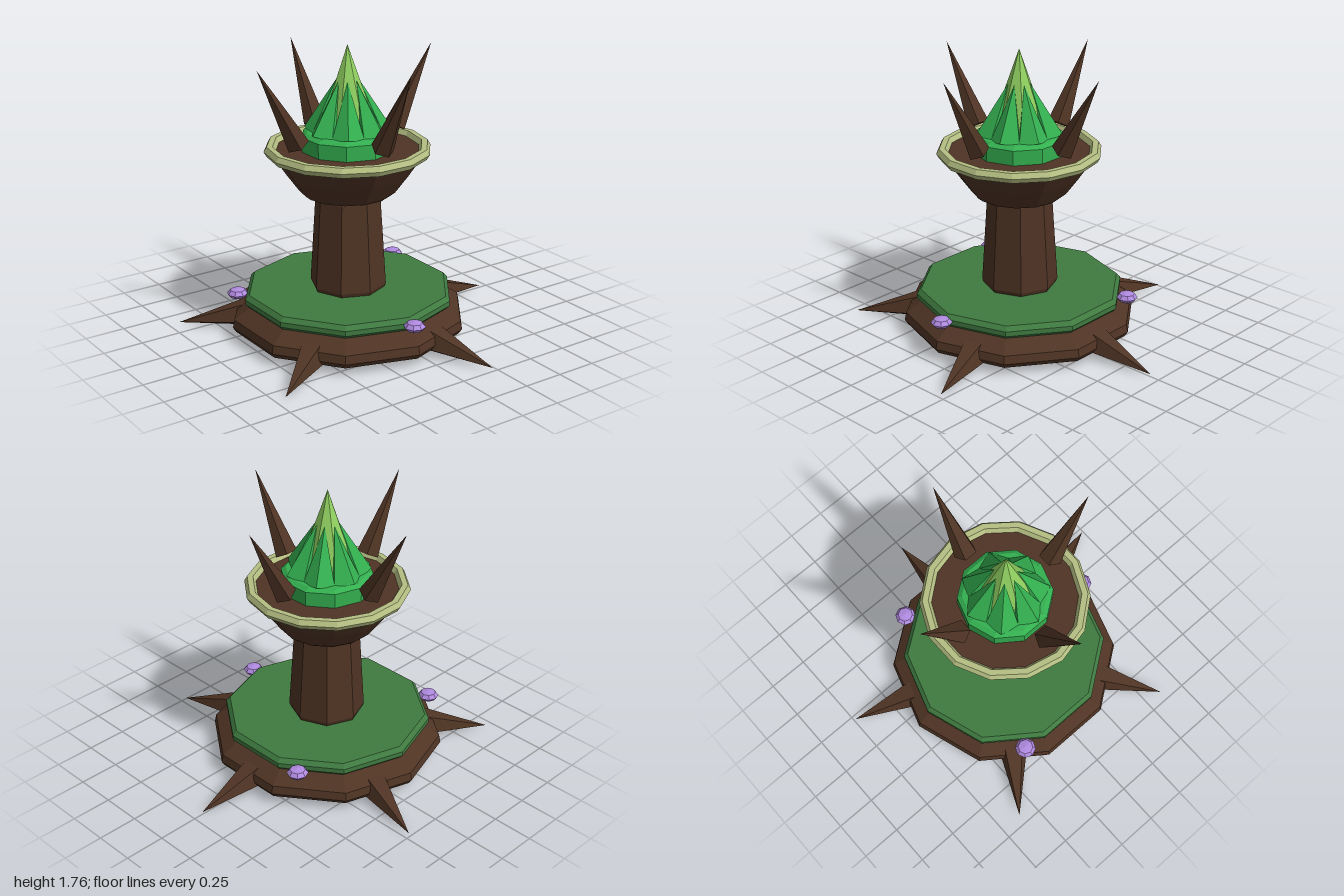
import * as THREE from 'three';

const mat = (name, color) => {
  const m = new THREE.MeshStandardMaterial({ color });
  m.name = name;
  return m;
};

// Faceted copy of a geometry
const facet = (geo) => {
  const g = geo.index ? geo.toNonIndexed() : geo;
  g.computeVertexNormals();
  return g;
};

// Turned solid from [radius, height] points, bottom to top
const turned = (points, sides) =>
  new THREE.LatheGeometry(points.map(([r, y]) => new THREE.Vector2(r, y)), sides);

// Five-sided spike leaning in the radial plane, then turned about the axis
function spike(angle, baseR, baseY, tipR, tipY, radius) {
  const dr = tipR - baseR, dy = tipY - baseY, length = Math.hypot(dr, dy);
  const g = new THREE.ConeGeometry(radius, length, 5);
  g.rotateX(Math.atan2(dr, dy));
  g.translate(0, (baseY + tipY) / 2, (baseR + tipR) / 2);
  const p = g.attributes.position;
  for (let i = 0; i < p.count; i++) p.setY(i, Math.max(0, p.getY(i)));
  return facet(g.rotateY(angle));
}

export function createModel() {
  const wood = mat('bark brown', 0x4f3424);
  const moss = mat('moss green', 0x3f7a40);
  const trim = mat('pale rim green', 0xb5bf82);
  const purple = mat('mushroom purple', 0xb08ae0);
  const emerald = mat('crystal green', 0x34b050);
  const lime = mat('light crystal green', 0x90d060);

  const group = new THREE.Group();
  const add = (name, geo, material) => {
    const mesh = new THREE.Mesh(geo, material);
    mesh.name = name;
    mesh.position.x = -0.1;
    group.add(mesh);
    return mesh;
  };

  // Stepped base with moss on top
  add('base', facet(turned([[0, 0.05], [0.7, 0.05], [0.72, 0.08], [0.71, 0.13], [0.61, 0.2], [0, 0.2]], 10)), wood);
  add('mossDisc', facet(turned([[0, 0.2], [0.62, 0.2], [0.64, 0.22], [0.64, 0.25], [0.615, 0.277], [0, 0.277]], 10)), moss);

  // Five pointed roots
  for (let i = 0; i < 5; i++) {
    add('root', spike(Math.PI / 2 + i * Math.PI * 0.4, 0.55, 0.095, 1.04, 0.015, 0.11), wood);
  }

  // Mushroom caps on the edge of the moss
  for (const angle of [0, 1, 2].map((i) => (i * Math.PI * 2) / 3)) {
    const cap = add('mushroomCap', facet(new THREE.SphereGeometry(0.065, 8, 4)), purple);
    cap.scale.y = 0.5;
    cap.position.set(-0.1 + Math.sin(angle) * 0.67, 0.242, Math.cos(angle) * 0.67);
  }

  // Trunk
  add('trunk', facet(turned([[0, 0.27], [0.22, 0.27], [0.232, 0.3], [0.197, 0.84], [0.18, 0.87], [0, 0.87]], 8)), wood);

  // Bowl and its rim
  const bowl = turned([[0, 0.87], [0.265, 0.87], [0.29, 0.89], [0.37, 1.0], [0.45, 1.12], [0.45, 1.14], [0, 1.14]], 14);
  add('bowl', facet(bowl.rotateY(Math.PI / 2)), wood);
  const rim = new THREE.TorusGeometry(0.462, 0.035, 6, 14).rotateX(Math.PI / 2);
  rim.translate(0, 1.14, 0);
  add('bowlRim', facet(rim), trim);

  // Four claws around the bowl
  for (let i = 0; i < 4; i++) {
    add('claw', spike((i * Math.PI) / 2, 0.348, 1.22, 0.61, 1.695, 0.07), wood);
  }

  // Crystal: low plinth, tall core and leaning shards
  add('crystalBase', facet(turned([[0, 1.14], [0.278, 1.14], [0.278, 1.23], [0.25, 1.25], [0, 1.26]], 10)), emerald);
  const core = new THREE.ConeGeometry(0.19, 0.545, 7);
  core.translate(0, 1.4925, 0);
  add('crystalCore', facet(core), lime);
  for (let i = 0; i < 7; i++) {
    add('crystalShard', spike(0.31 + (i * Math.PI * 2) / 7, 0.165, 1.23, 0.065, 1.56, 0.1), emerald);
  }

  return group;
}
